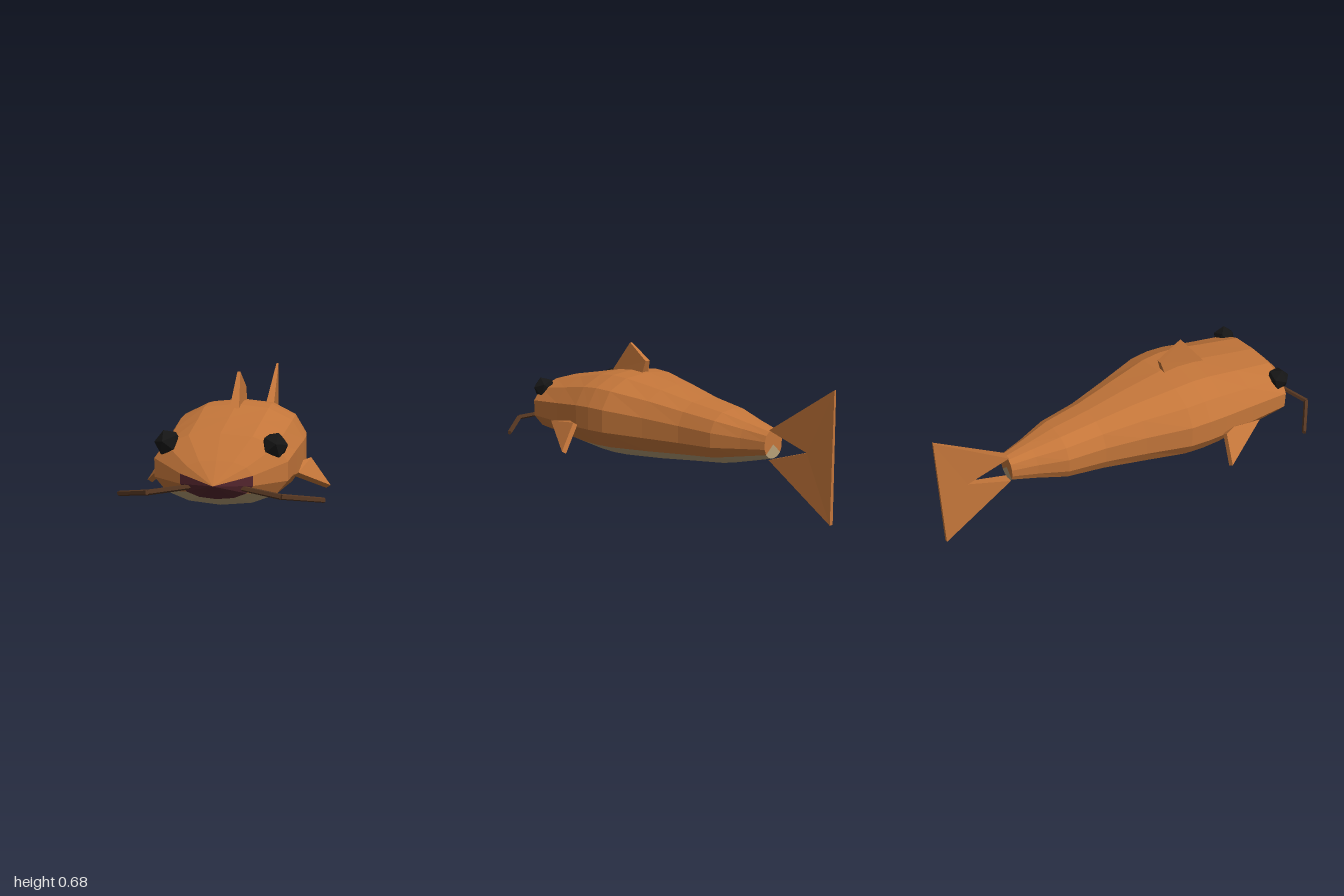
import * as THREE from 'three';

const mat = (color) => new THREE.MeshStandardMaterial({ color, flatShading: true });
const skin = mat(0xc4763a), bellySkin = mat(0xb8a078), mouthSkin = mat(0x55262e);
const whiskerSkin = mat(0x553621), eyeSkin = mat(0x151515);

// Half of the 14-sided cross-section, top to bottom, in units of half width and half height
const HALF = [[0, 1], [0.476, 0.93], [0.825, 0.68], [1, 0.264], [1, -0.264], [0.825, -0.655], [0.476, -0.91], [0, -1]];

// Stations along the body: z, half width, top, bottom
const TIP = [0.995, 0, 0.265, 0.265];
const LIPS = [0.915, 0.155, 0.36, 0.195];
const BODY = [
  LIPS,
  [0.82, 0.29, 0.46, 0.15],
  [0.6, 0.302, 0.5, 0.127],
  [0.42, 0.315, 0.536, 0.108],
  [0.32, 0.315, 0.544, 0.105],
  [0.22, 0.305, 0.538, 0.109],
  [0, 0.233, 0.502, 0.126],
  [-0.2, 0.178, 0.463, 0.149],
  [-0.39, 0.15, 0.436, 0.172],
  [-0.53, 0.095, 0.402, 0.208],
  [-0.65, 0.058, 0.375, 0.24],
];
const TAIL_END = [-0.65, 0, 0.307, 0.307];

function ringPoint([z, w, top, bottom], j) {
  const k = ((j % 14) + 14) % 14;
  const [px, py] = k <= 7 ? HALF[k] : HALF[14 - k];
  const x = (k <= 7 ? px : -px) * w;
  return new THREE.Vector3(x, (top + bottom) / 2 + (py * (top - bottom)) / 2, z);
}

function meshFrom(name, triangles, material) {
  const geometry = new THREE.BufferGeometry().setFromPoints(triangles);
  geometry.computeVertexNormals();
  const mesh = new THREE.Mesh(geometry, material);
  mesh.name = name;
  return mesh;
}

// Skin over the stations, covering profile segments from..to
function loft(name, stations, from, to, material) {
  const tris = [];
  const add = (a, b, c) => {
    if (new THREE.Triangle(a, b, c).getArea() > 1e-7) tris.push(a, b, c);
  };
  for (let i = 0; i < stations.length - 1; i++) {
    for (let j = from; j < to; j++) {
      const a = ringPoint(stations[i], j), b = ringPoint(stations[i], j + 1);
      const c = ringPoint(stations[i + 1], j + 1), d = ringPoint(stations[i + 1], j);
      add(a, b, c);
      add(a, c, d);
    }
  }
  return meshFrom(name, tris, material);
}

// Flat fin; each corner is x, y, z, half thickness, and the first corner sees all others
function fin(name, corners) {
  const p = corners.map(([x, y, z]) => new THREE.Vector3(x, y, z));
  const n = p[1].clone().sub(p[0]).cross(p[2].clone().sub(p[0])).normalize();
  const front = p.map((v, i) => v.clone().addScaledVector(n, corners[i][3]));
  const back = p.map((v, i) => v.clone().addScaledVector(n, -corners[i][3]));
  const tris = [];
  for (let i = 1; i < p.length - 1; i++) {
    tris.push(front[0], front[i], front[i + 1], back[0], back[i + 1], back[i]);
  }
  for (let i = 0; i < p.length; i++) {
    const k = (i + 1) % p.length;
    tris.push(front[i], back[i], back[k], front[i], back[k], front[k]);
  }
  return meshFrom(name, tris, skin);
}

// Tapered straight piece of a whisker
function rod(name, a, b, r0, r1) {
  const from = new THREE.Vector3(...a), to = new THREE.Vector3(...b);
  const dir = to.clone().sub(from);
  const mesh = new THREE.Mesh(new THREE.CylinderGeometry(r1, r0, dir.length(), 5), whiskerSkin);
  mesh.position.copy(from).add(to).multiplyScalar(0.5);
  mesh.quaternion.setFromUnitVectors(new THREE.Vector3(0, 1, 0), dir.normalize());
  mesh.name = name;
  return mesh;
}

export function createModel() {
  const fish = new THREE.Group();
  fish.name = 'fish';

  // Body, belly and head
  fish.add(
    loft('back', [...BODY, TAIL_END], -5, 5, skin),
    loft('belly', [...BODY, TAIL_END], 5, 9, bellySkin),
    loft('snout', [TIP, LIPS], -3, 3, skin),
    loft('mouth', [TIP, LIPS], 3, 11, mouthSkin),
  );

  // Fins on the centre line
  fish.add(
    fin('tailFin', [
      [0, 0.305, -0.86, 0.013], [0, 0.375, -0.645, 0.025], [0, 0.605, -1, 0.006],
      [0, 0.0, -1, 0.01], [0, 0.235, -0.645, 0.025],
    ].filter((c, i) => i !== 3 || c).map((c) => c)),
    fin('dorsalFin', [
      [0, 0.52, 0.48, 0.022], [0, 0.68, 0.35, 0.007], [0, 0.597, 0.22, 0.014], [0, 0.52, 0.245, 0.022],
    ]),
  );

  for (const [side, s] of [['left', 1], ['right', -1]]) {
    // Side fins
    fish.add(fin(side + 'SideFin', [
      [s * 0.302, 0.258, 0.635, 0.014], [s * 0.425, 0.155, 0.38, 0.013],
      [s * 0.335, 0.288, 0.4, 0.013], [s * 0.305, 0.285, 0.47, 0.014],
    ]));

    // Eyes
    const eye = new THREE.Mesh(new THREE.IcosahedronGeometry(0.061, 0), eyeSkin);
    eye.position.set(s * 0.23, 0.41, 0.805);
    eye.rotation.set(0.3, s * 0.4, s * 0.2);
    eye.name = side + 'Eye';
    fish.add(eye);

    // Whiskers
    const whisker = new THREE.Group();
    whisker.name = side + 'Whisker';
    const root = [s * 0.11, 0.247, 0.925], bend = [s * 0.28, 0.228, 0.98], end = [s * 0.445, 0.188, 0.833];
    whisker.add(rod('innerWhisker', root, bend, 0.012, 0.013), rod('outerWhisker', bend, end, 0.013, 0.012));
    fish.add(whisker);
  }

  return fish;
}
